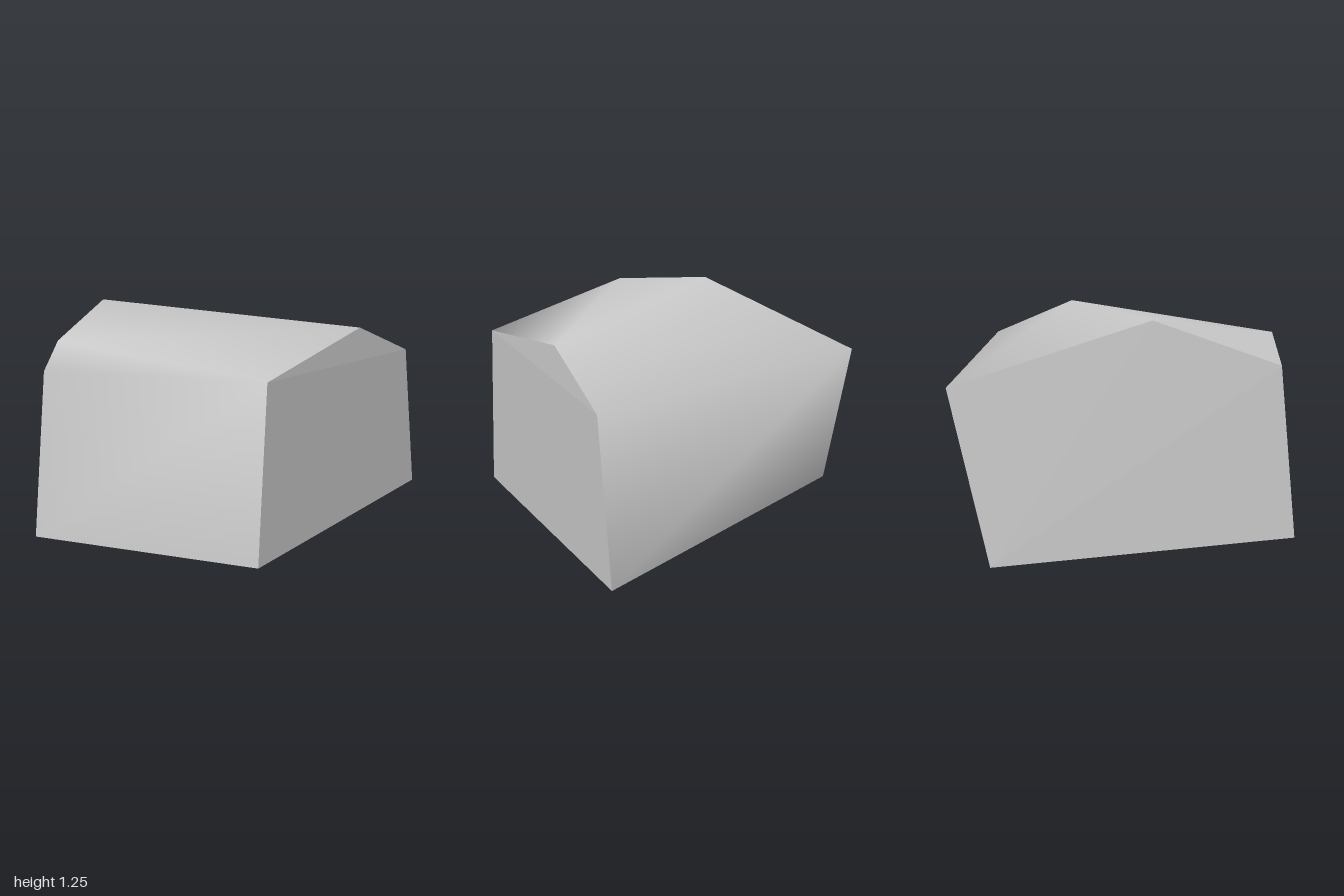
import * as THREE from 'three';

// Cross-sections of the two ends, running front base -> roof -> back base
const minusX = [
  [-0.89, 0, 0.955], [-0.825, 0.98, 0.86], [-0.745, 1.155, 0.825],
  [-0.83, 1.25, 0.13], [-0.9, 0.947, -0.957], [-1, 0, -0.765],
];
const plusX = [
  [0.455, 0, 0.88], [0.47, 1.03, 0.8], [0.75, 1.16, -0.05],
  [0.935, 0.93, -0.54], [1, 0, -0.69],
];

function makeGeometry(points, index) {
  const geometry = new THREE.BufferGeometry();
  geometry.setAttribute('position', new THREE.Float32BufferAttribute(points.flat(), 3));
  geometry.setIndex(index);
  return geometry;
}

// Flat end panel: split corners so every face keeps its own normal
function makeEnd(points, index) {
  const geometry = makeGeometry(points, index).toNonIndexed();
  geometry.computeVertexNormals();
  return geometry;
}

// Smooth shell lofted between the two ends; one corner on +x serves two rows
function makeShell() {
  const n = minusX.length;
  const right = [0, 1, 1, 2, 3, 4].map((i) => i + n);
  const index = [];
  for (let i = 0; i < n - 1; i++) {
    const a = i, b = right[i], c = right[i + 1], d = i + 1;
    if (b === c) index.push(a, b, d);
    else if (i === 3) index.push(a, b, d, b, c, d);
    else index.push(a, b, c, a, c, d);
  }
  const geometry = makeGeometry([...minusX, ...plusX], index);
  geometry.computeVertexNormals();
  return geometry;
}

export function createModel() {
  const group = new THREE.Group();
  group.name = 'openShelter';

  const grey = new THREE.MeshStandardMaterial({ color: 0xcccccc, side: THREE.DoubleSide });
  grey.name = 'light grey';

  const add = (name, geometry) => {
    const mesh = new THREE.Mesh(geometry, grey);
    mesh.name = name;
    group.add(mesh);
  };

  // Front wall, roof and back wall, open underneath
  add('wallsAndRoof', makeShell());
  // End panels
  add('rightEnd', makeEnd(minusX, [5, 0, 1, 5, 1, 3, 1, 2, 3, 5, 3, 4]));
  add('leftEnd', makeEnd(plusX, [0, 4, 3, 0, 3, 1, 1, 3, 2]));

  return group;
}
